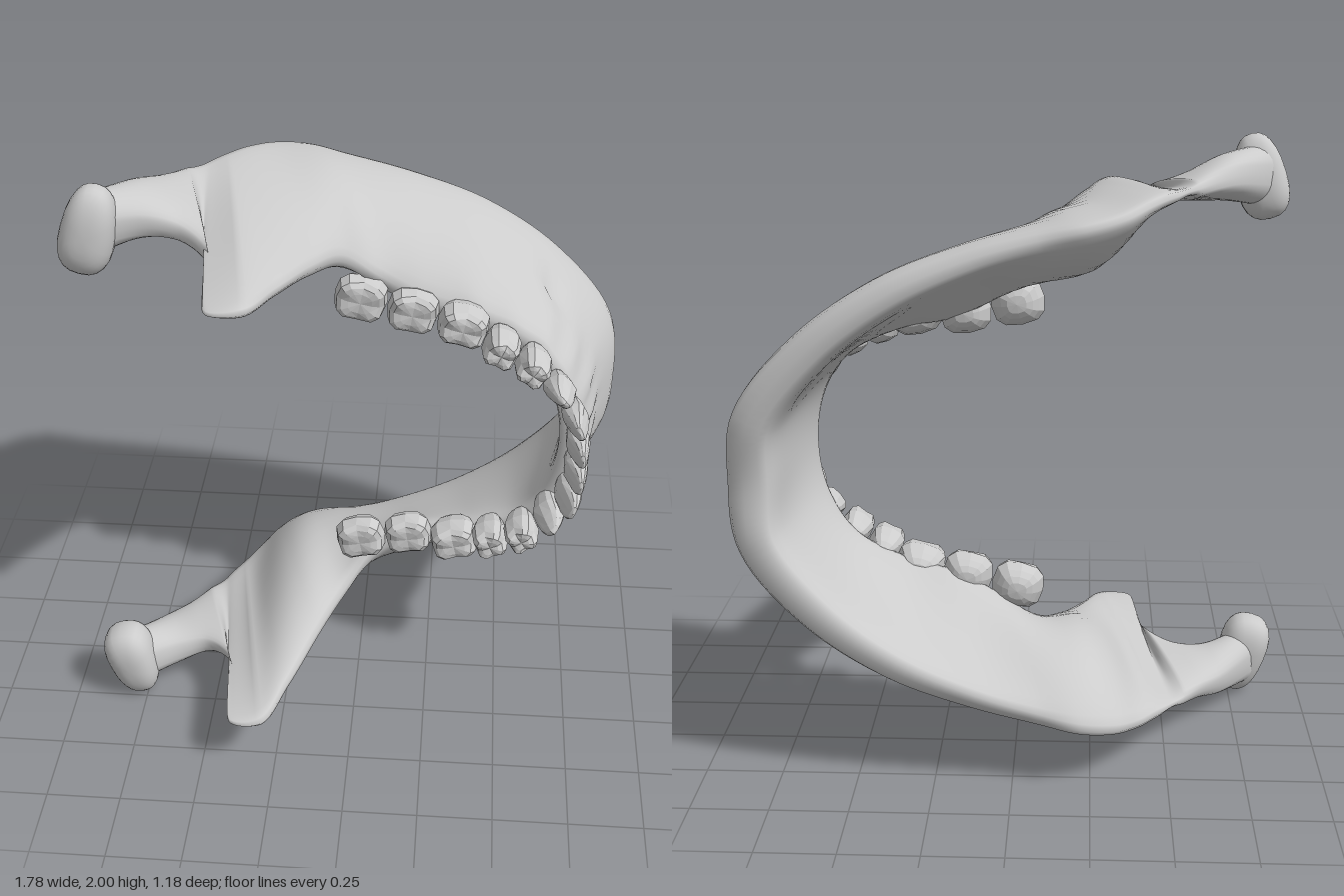
import * as THREE from 'three';
import { mergeVertices } from 'three/addons/utils/BufferGeometryUtils.js';

// Edges of one jaw half, from the chin back to the condyle: x, sideways from the middle, z
const LOWER_EDGE = [
  [.82, 0, -.555], [.80, .2, -.575], [.61, .43, -.59], [.37, .60, -.59],
  [.12, .705, -.58], [-.08, .76, -.58], [-.22, .79, -.59], [-.33, .815, -.54],
  [-.41, .84, -.44], [-.46, .85, -.36], [-.50, .855, -.30], [-.53, .86, -.25],
  [-.57, .865, -.2], [-.63, .875, -.11], [-.71, .885, -.02], [-.83, .87, .13],
];
const UPPER_EDGE = [
  [.70, 0, -.01], [.665, .19, -.02], [.57, .335, -.04], [.40, .415, -.07],
  [.20, .46, -.10], [.06, .54, -.10], [-.05, .665, 0], [-.13, .72, .17],
  [-.215, .765, .40], [-.29, .79, .575], [-.39, .79, .58], [-.415, .795, .42],
  [-.435, .80, .26], [-.53, .825, .165], [-.63, .85, .175], [-.76, .86, .25],
];
// Half thickness at the lower edge, middle and upper edge, evenly spaced along the half
const THICKNESS = [
  [.12, .05, .06], [.085, .06, .065], [.04, .06, .05],
  [.04, .036, .035], [.04, .036, .035], [.08, .1, .08],
];

// Teeth of one side: x, sideways, bottom z, top z, half length, half depth, kind
const TEETH = [
  [.73, .052, -.06, .17, .05, .04, 'incisor'],
  [.713, .155, -.06, .165, .052, .042, 'incisor'],
  [.655, .25, -.07, .145, .054, .048, 'canine'],
  [.565, .335, -.08, .13, .056, .056, 'premolar'],
  [.46, .385, -.10, .10, .06, .06, 'premolar'],
  [.335, .435, -.14, .04, .085, .07, 'molar'],
  [.17, .455, -.16, -.02, .085, .076, 'molar'],
  [0, .49, -.17, -.03, .088, .08, 'molar'],
];

const bone = new THREE.MeshStandardMaterial({ color: 0xcccccc });
const enamel = new THREE.MeshStandardMaterial({ color: 0xcccccc, flatShading: true });

// Value at s (0..1) of the parabola through three values
const blend = (a, b, c, s) =>
  a * (1 - s) * (1 - 2 * s) + b * 4 * s * (1 - s) + c * s * (2 * s - 1);

const bell = (d, width) => Math.exp(-((d / width) ** 2));

// A curve from one condyle round to the other; side is -1 to mirror y, 1 to repeat it
function archCurve(points, side) {
  const half = points.map((p) => new THREE.Vector3(...p));
  const other = half.slice(1).reverse().map((p) => new THREE.Vector3(p.x, p.y * side, p.z));
  return new THREE.CatmullRomCurve3([...other, ...half]);
}

// Closed cross-sections lofted along the arch, giving body, ramus, notch and coronoid in one skin
function jawBone() {
  const low = archCurve(LOWER_EDGE, -1), high = archCurve(UPPER_EDGE, -1);
  const thick = archCurve(THICKNESS, 1);
  const rows = 240, ring = 28, pos = [], index = [];
  for (let i = 0; i <= rows; i++) {
    const t = i / rows, u = Math.abs(2 * t - 1);
    const L = low.getPoint(t), U = high.getPoint(t), h = thick.getPoint(t);
    const out = low.getTangent(t).cross(U.clone().sub(L)).normalize();
    // the body bows outwards beside the molars, with a shelf on the inside behind them
    const bow = .045 * bell(u - .3, .12), shelf = .1 * bell(u - .43, .1);
    for (let j = 0; j < ring; j++) {
      const a = (j / ring) * Math.PI * 2;
      const s = (1 - Math.cos(a)) / 2, side = Math.sin(a), hump = 4 * s * (1 - s);
      const p = L.clone().lerp(U, s).addScaledVector(out, bow * hump);
      let w = blend(h.x, h.y, h.z, s) * Math.sign(side) * Math.abs(side) ** .6;
      if (side > .01) {
        // root ridges below the teeth and the small nerve opening
        for (const [x, y] of TEETH.slice(0, 6)) {
          const d = Math.hypot(p.x - x, Math.abs(p.y) - y);
          w += .018 * bell(d, .037) * THREE.MathUtils.smoothstep(s, .4, .75) * side;
        }
        w -= .04 * bell(Math.hypot(p.x - .6, p.z + .34), .035);
      } else {
        w -= shelf * hump;
      }
      p.addScaledVector(out, w);
      pos.push(p.x, p.y + 1, p.z);
      if (i < rows) {
        const k = i * ring + j, n = i * ring + ((j + 1) % ring);
        index.push(k, k + ring, n, n, k + ring, n + ring);
      }
    }
  }
  const g = new THREE.BufferGeometry();
  g.setAttribute('position', new THREE.Float32BufferAttribute(pos, 3));
  g.setIndex(index);
  g.computeVertexNormals();
  return g;
}

// Rounded block of unit half size, poles on z, reshaped by a rule
function blob(power, columns, rows, rule) {
  let g = new THREE.SphereGeometry(1, columns, rows).rotateX(Math.PI / 2);
  g.deleteAttribute('uv');
  g.deleteAttribute('normal');
  g = mergeVertices(g, 1e-4);
  const p = g.attributes.position, v = new THREE.Vector3();
  const square = (c) => Math.sign(c) * Math.abs(c) ** power;
  for (let i = 0; i < p.count; i++) {
    v.fromBufferAttribute(p, i);
    v.set(square(v.x), square(v.y), square(v.z));
    rule(v);
    p.setXYZ(i, v.x, v.y, v.z);
  }
  g.computeVertexNormals();
  return g;
}

// Tooth: x along the arch, y outwards, z towards the biting edge
function toothGeometry(length, depth, height, kind) {
  return blob(.72, 12, 8, (v) => {
    const up = Math.max(0, v.z), down = Math.max(0, -v.z);
    const neck = 1 - .3 * down;
    if (kind === 'molar' || kind === 'premolar') {
      // cusps at the corners with a hollow between them
      if (v.z > .5) v.z += .35 * Math.abs(v.x * v.y) - .22 * (1 - Math.min(1, v.x * v.x + v.y * v.y));
      v.set(v.x * neck * (1 - .1 * up), v.y * neck * (1 - .15 * up), v.z);
    } else {
      if (kind === 'canine' && v.z > .4) v.z -= .2 * Math.abs(v.x);
      v.set(v.x * neck, v.y * neck * (1 - .6 * up) + .3 * v.z, v.z);
    }
    v.multiply(new THREE.Vector3(length, depth, height));
  });
}

export function createModel() {
  const model = new THREE.Group();
  const add = (geometry, material, name) => {
    const mesh = new THREE.Mesh(geometry, material);
    mesh.name = name;
    model.add(mesh);
    return mesh;
  };

  add(jawBone(), bone, 'jawBone');

  // Condyle: a sideways roller, broader towards the inner end
  const condyle = (s) => blob(.8, 24, 16, (v) => {
    const inner = -v.y * s;
    v.set(v.x * (.084 + .012 * inner), v.y * .145, v.z * (.082 + .012 * inner));
  });

  for (const [s, label] of [[1, 'upper'], [-1, 'lower']]) {
    const head = add(condyle(s), bone, `${label}Condyle`);
    head.position.set(-.797, 1 + s * .857, .205);
    head.rotation.z = -s * .25;

    TEETH.forEach(([x, y, bottom, top, length, depth, kind], i) => {
      // face each tooth outwards from the line of its neighbours
      const before = i ? TEETH[i - 1] : [x, -y];
      const after = TEETH[i + 1] || TEETH[i];
      const tx = after[0] - before[0], ty = after[1] - before[1];
      const tooth = add(toothGeometry(length, depth, (top - bottom) / 2, kind), enamel,
        `${label}Side${kind[0].toUpperCase()}${kind.slice(1)}${i + 1}`);
      tooth.position.set(x, 1 + s * y, (top + bottom) / 2);
      tooth.rotation.z = Math.atan2(-ty, -tx * s);
    });
  }
  return model;
}
